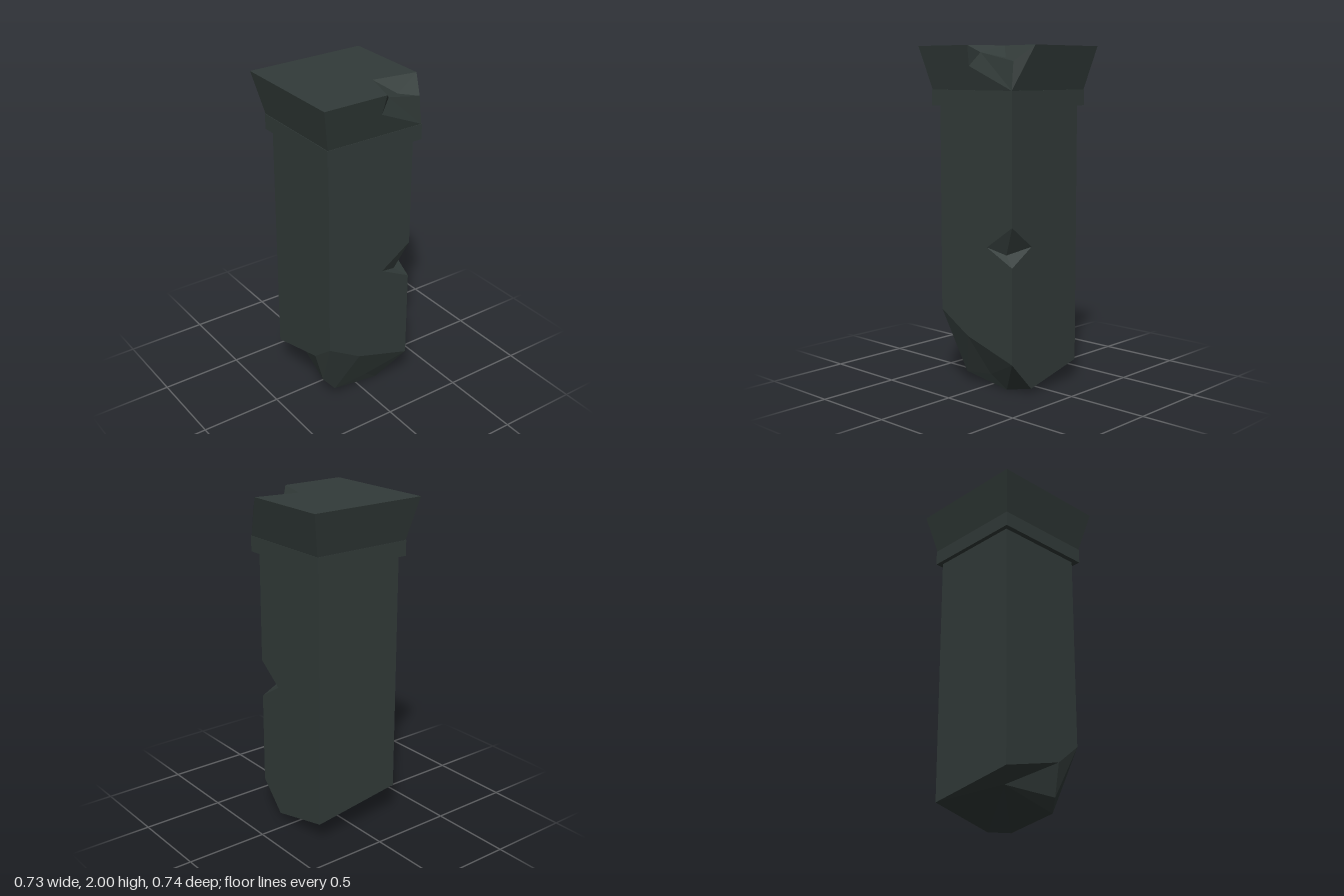
import * as THREE from 'three';

// Builds a flat-faced mesh from named points and polygons (each fanned from its first point).
function faceted(name, points, polygons, material) {
  const pos = [];
  for (const polygon of polygons) {
    const p = polygon.split(' ').map((key) => points[key]);
    for (let i = 1; i < p.length - 1; i++) pos.push(...p[0], ...p[i], ...p[i + 1]);
  }
  const geometry = new THREE.BufferGeometry();
  geometry.setAttribute('position', new THREE.Float32BufferAttribute(pos, 3));
  geometry.computeVertexNormals();
  const mesh = new THREE.Mesh(geometry, material);
  mesh.name = name;
  return mesh;
}

export function createModel() {
  const group = new THREE.Group();
  group.name = 'brokenPillar';
  const stone = new THREE.MeshStandardMaterial({ color: 0x323b39, flatShading: true });
  stone.name = 'darkStone';

  // Square shaft with a notch in one edge and a ragged broken foot
  const l = -0.288, r = 0.274, f = 0.286, b = -0.286, top = 1.68;
  const shaft = {
    TFL: [l, top, f], TFR: [r, top, f], TBR: [r, top, b], TBL: [l, top, b],
    // rim of the break
    F0: [l, 0.2, f], F1: [0.117, 0.31, f], F2: [r, 0.44, f],
    S1: [r, 0.31, 0.07], S2: [r, 0.2, b], B1: [0.11, 0.025, b], B2: [l, 0.12, b],
    // points of the broken underside
    K: [-0.19, 0.14, 0.17], J: [0.13, 0.12, 0.24], G: [0.17, 0.05, 0.18],
    N: [0.19, 0.08, -0.04], H: [0.16, 0, -0.14],
    // edge notch
    nT: [r, 0.99, b], nB: [r, 0.76, b], M: [r, 0.858, -0.09],
    R: [0.11, 0.864, b], P: [0.235, 0.82, -0.206],
  };
  group.add(faceted('shaft', shaft, [
    'TFL F0 F1 F2 TFR', 'M nT TBR TFR F2 S1 S2 nB', 'R nB S2 B1 B2 TBL TBR nT', 'TBL B2 F0 TFL',
    'TFL TFR TBR TBL',
  ], stone));
  group.add(faceted('edgeNotch', shaft, ['nT M P', 'M nB P', 'nB R P', 'R nT P'], stone));
  group.add(faceted('brokenFoot', shaft, [
    'F1 F0 K', 'F1 K J', 'F2 F1 J', 'F2 J G', 'S1 F2 G', 'S1 G N', 'S2 S1 N', 'S2 N H',
    'B1 S2 H', 'B1 H K', 'B2 B1 K', 'F0 B2 K', 'H N G', 'H G K', 'K G J',
  ], stone));

  // Flat collar under the capital
  const collar = new THREE.Mesh(new THREE.BoxGeometry(0.625, 0.092, 0.634), stone);
  collar.name = 'collar';
  collar.position.set(-0.002, 1.704, 0);
  group.add(collar);

  // Flared capital with one chipped corner
  const y0 = 1.75, y1 = 2;
  const capital = {
    TFL: [-0.366, y1, 0.371], TFR: [0.364, y1, 0.371], TBL: [-0.366, y1, -0.372],
    BFL: [-0.312, y0, 0.314], BFR: [0.308, y0, 0.314], BBL: [-0.312, y0, -0.314],
    E: [0.308, y0, -0.314],
    // rim and inner points of the chip
    A: [0.136, y1, -0.102], B: [0.18, y1, -0.372], C: [0.364, y1, -0.03], D: [0.338, 1.885, -0.016],
    Q1: [0.235, 1.93, -0.2], Q2: [0.29, 1.91, -0.31], Q3: [0.31, 1.96, -0.08],
  };
  group.add(faceted('capital', capital, [
    'TFL BFL BFR TFR', 'D C TFR BFR E', 'B E BBL TBL', 'TBL BBL BFL TFL',
    'A B TBL TFL TFR C', 'BFL BBL E BFR',
  ], stone));
  group.add(faceted('chippedCorner', capital, [
    'B A Q1', 'A Q3 Q1', 'A C Q3', 'C D Q3', 'D E Q3', 'E Q2 Q3', 'Q2 Q1 Q3', 'Q2 B Q1', 'E B Q2',
  ], stone));

  return group;
}
